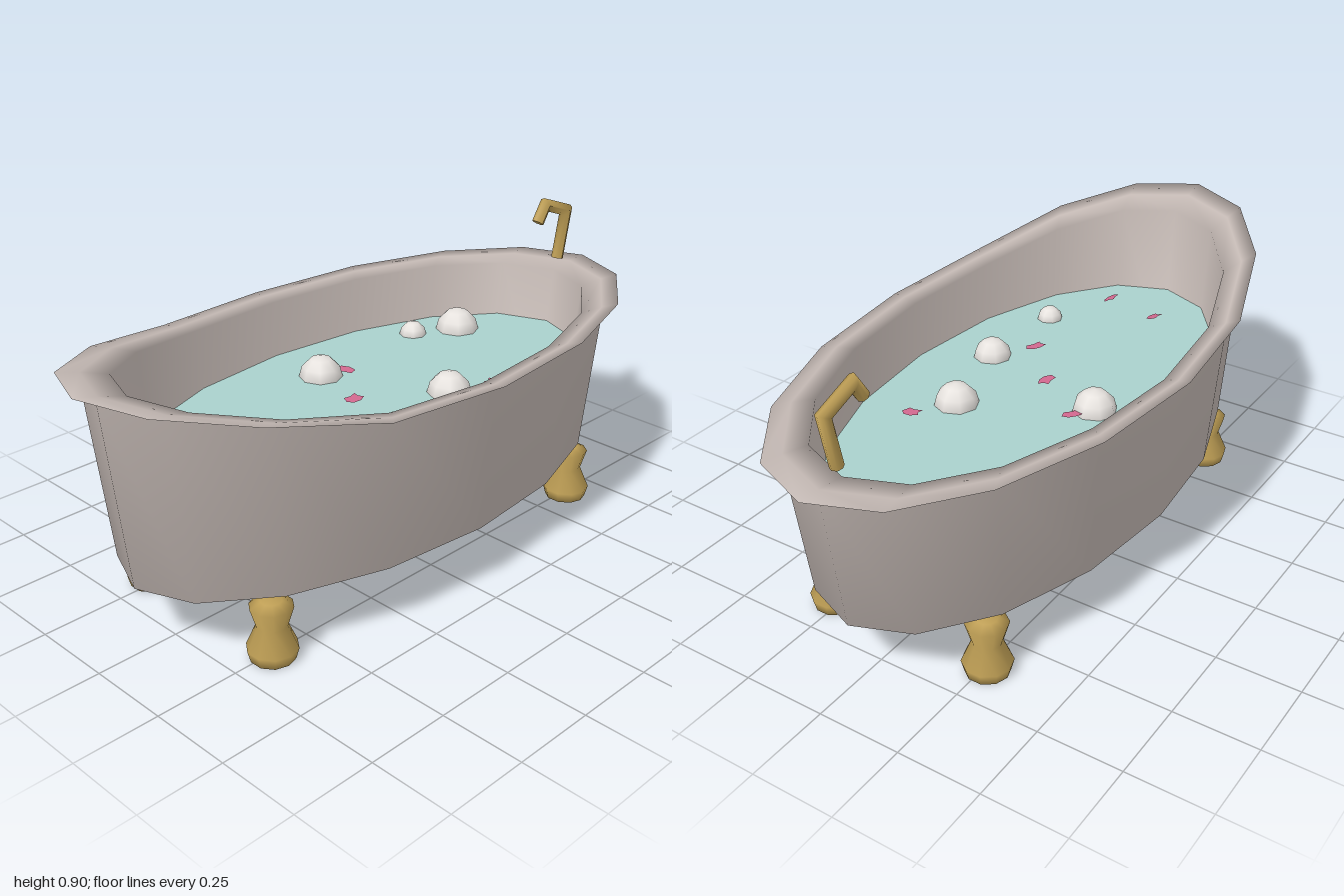
import * as THREE from 'three';
import { mergeVertices } from 'three/addons/utils/BufferGeometryUtils.js';

const material = (name, color, side = THREE.FrontSide) => {
  const m = new THREE.MeshStandardMaterial({ color, side });
  m.name = name;
  return m;
};
const points = (list) => list.map(([r, y]) => new THREE.Vector2(r, y));

// Weld a lathe so that its normals are smooth all the way round
function weld(geometry) {
  geometry.deleteAttribute('uv');
  geometry.deleteAttribute('normal');
  const welded = mergeVertices(geometry, 1e-5);
  welded.computeVertexNormals();
  return welded;
}

// Oval shell: 16-sided lathe, narrowed in z, with the rim raised towards -x
function tubGeometry() {
  const profile = points([
    [0, 0.12], [0.64, 0.12], [0.87, 0.2], [0.935, 0.643], [1, 0.655],
    [0.93, 0.652], [0.845, 0.642], [0.79, 0.2], [0.6, 0.165], [0, 0.16],
  ]);
  const g = new THREE.LatheGeometry(profile, 16);
  const p = g.attributes.position;
  for (let i = 0; i < p.count; i++) {
    const x = p.getX(i), y = p.getY(i);
    p.setZ(i, p.getZ(i) * 0.5);
    if (y > 0.6) p.setY(i, y + Math.max(0, -x) * 0.03 + Math.max(0, -x - 0.38) * 0.161);
  }
  return weld(g);
}

// Bent pipe with mitred corners: each cylinder ring moves to a path point
function spoutGeometry(path, radius) {
  const n = path.length - 1;
  const g = new THREE.CylinderGeometry(radius, radius, 1, 8, n);
  const dirs = path.slice(1).map((q, i) => q.clone().sub(path[i]).normalize());
  const p = g.attributes.position;
  for (let v = 0; v < p.count; v++) {
    const i = Math.round((p.getY(v) + 0.5) * n);
    const a = dirs[Math.max(0, i - 1)], b = dirs[Math.min(n - 1, i)];
    const t = a.clone().add(b).normalize();
    const off = p.getX(v) / t.dot(a);
    p.setXY(v, path[i].x + t.y * off, path[i].y - t.x * off);
  }
  g.computeVertexNormals();
  return g;
}

export function createModel() {
  const group = new THREE.Group();
  group.name = 'bathtub';
  const enamel = material('enamel', 0xc4b9b4);
  const brass = material('brass', 0xbf9f55);
  const waterBlue = material('water', 0xa9d1cc);
  const foam = material('foam', 0xe6e2de);
  const pink = material('petal pink', 0xd2688f, THREE.DoubleSide);

  const add = (name, geometry, mat, x = 0, y = 0, z = 0) => {
    const mesh = new THREE.Mesh(geometry, mat);
    mesh.name = name;
    mesh.position.set(x, y, z);
    group.add(mesh);
    return mesh;
  };

  add('tub', tubGeometry(), enamel);

  // Four waisted feet
  const foot = weld(new THREE.LatheGeometry(points([
    [0, 0], [0.063, 0], [0.072, 0.033], [0.043, 0.1], [0.061, 0.16], [0.03, 0.175], [0, 0.175],
  ]), 10));
  for (const x of [-0.63, 0.625])
    for (const z of [-0.262, 0.262]) add('foot', foot, brass, x, 0, z);

  // Faucet
  const path = [[0.86, 0.68], [0.892, 0.834], [0.783, 0.874], [0.749, 0.822]]
    .map(([x, y]) => new THREE.Vector2(x, y));
  add('faucet', spoutGeometry(path, 0.019), brass);

  // Water surface, same 16-sided oval as the shell
  const level = 0.47;
  const water = new THREE.CircleGeometry(0.825, 16);
  water.rotateX(-Math.PI / 2);
  water.scale(1, 1, 0.5);
  add('water', water, waterBlue, 0, level, 0);

  // Bubbles floating half submerged
  for (const [x, z, r] of [
    [-0.01, -0.2, 0.066], [0.43, -0.235, 0.043], [0.565, -0.165, 0.069],
    [0.175, 0.15, 0.066], [-0.118, 0.227, 0.058], [-0.427, 0.217, 0.04],
  ]) add('bubble', new THREE.SphereGeometry(r, 8, 6), foam, x, level, z);

  // Notched petals lying on the water, each with its own turn and tilt
  const shape = new THREE.Shape(points([
    [-0.032, 0.004], [-0.018, -0.014], [0.006, -0.02], [0.03, -0.014],
    [0.022, 0.002], [0.028, 0.018], [0.004, 0.016], [-0.018, 0.024],
  ]));
  const petal = new THREE.ShapeGeometry(shape);
  petal.rotateX(-Math.PI / 2);
  for (const [x, z, turn, tilt] of [
    [-0.59, -0.07, 1.2, 0.45], [-0.635, 0.113, 0.3, 0.4], [-0.225, 0.14, 2.8, 0.12],
    [-0.067, 0, 0.2, 0.1], [0.06, -0.17, 2.5, 0.15], [0.3, 0.218, 1.7, 0.15],
  ]) add('petal', petal, pink, x, level + 0.008 + tilt * 0.015, z).rotation.set(tilt, turn, 0);

  return group;
}
